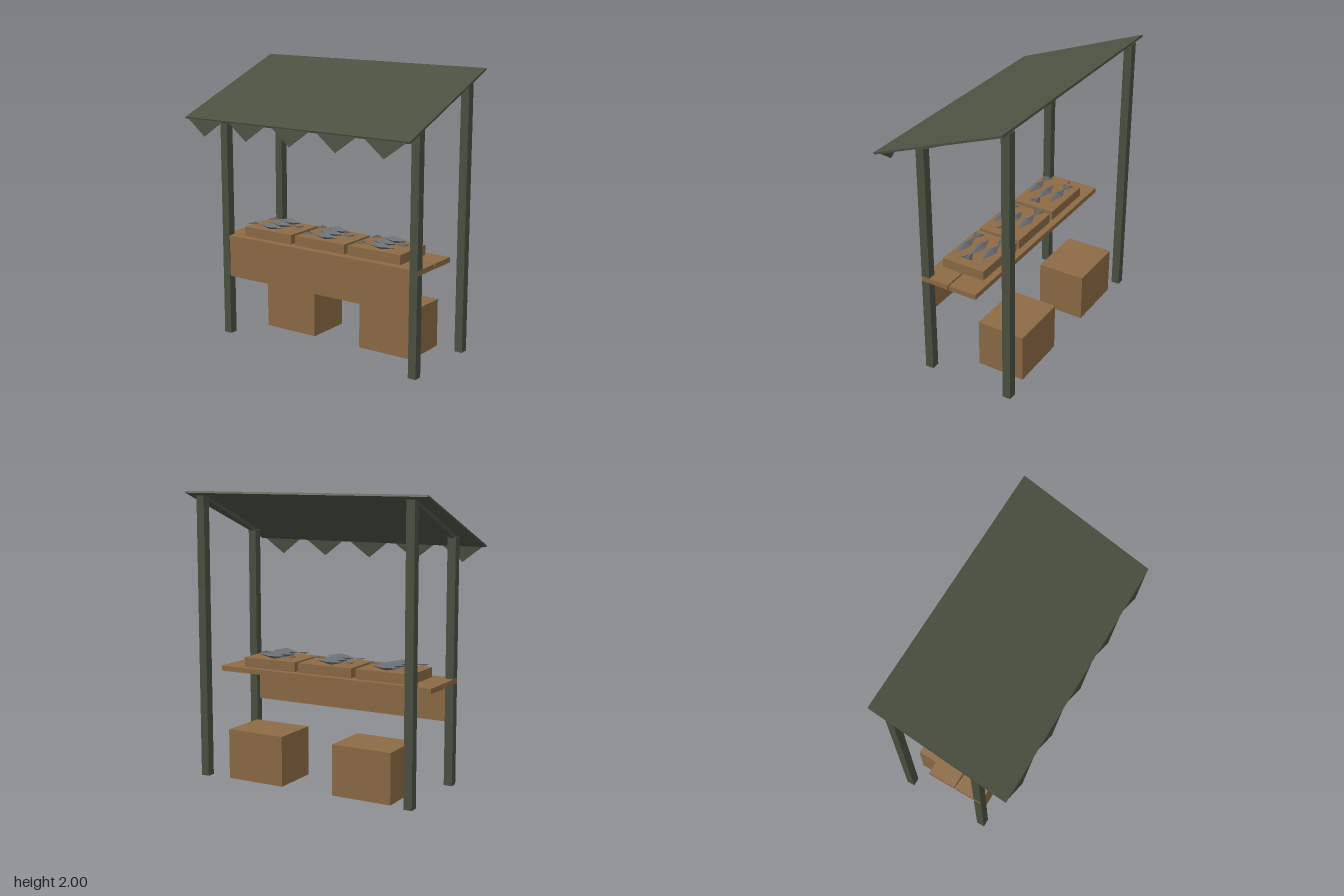
import * as THREE from 'three';

const mat = (name, color) => {
  const m = new THREE.MeshStandardMaterial({ color });
  m.name = name;
  return m;
};

export function createModel() {
  const stall = new THREE.Group();
  stall.name = 'marketStall';
  const green = mat('dark olive', 0x4b5041);
  const wood = mat('brown wood', 0x8c6a45);
  const grey = mat('fish grey', 0x666b70);

  const add = (parent, name, geometry, material, x = 0, y = 0, z = 0) => {
    const mesh = new THREE.Mesh(geometry, material);
    mesh.name = name;
    mesh.position.set(x, y, z);
    parent.add(mesh);
    return mesh;
  };
  const box = (name, material, w, h, d, x, y, z) =>
    add(stall, name, new THREE.BoxGeometry(w, h, d), material, x, y, z);

  // Posts and sloping rafters
  for (const s of [-1, 1]) {
    box('frontPost', green, 0.06, 1.705, 0.06, s * 0.797, 0.8525, 0.18);
    box('backPost', green, 0.06, 1.97, 0.06, s * 0.797, 0.985, -0.445);
    box('rafter', green, 0.03, 0.03, 0.67, s * 0.797, 1.836, -0.128).rotation.x = 0.409;
  }

  // Canopy sheet with a pointed valance along its front edge
  box('canopy', green, 1.83, 0.014, 1.022, 0, 1.81, -0.005).rotation.x = 0.3675;
  const flag = new THREE.Shape([
    new THREE.Vector2(-0.155, 0), new THREE.Vector2(0, -0.115), new THREE.Vector2(0.155, 0),
  ]);
  const flagGeometry = new THREE.ExtrudeGeometry(flag, { depth: 0.004, bevelEnabled: false });
  for (let i = -2; i <= 2; i++) {
    add(stall, 'valancePoint', flagGeometry, green, i * 0.3675, 1.625, 0.469).rotation.x = -0.1;
  }

  // Counter planks and front panel
  box('frontPlank', wood, 1.656, 0.036, 0.205, 0, 0.728, 0.105);
  box('backPlank', wood, 1.656, 0.036, 0.205, 0, 0.728, -0.111);
  box('frontPanel', wood, 1.53, 0.27, 0.02, 0, 0.575, 0.195);

  // Storage boxes on the ground
  for (const x of [-0.438, 0.392]) {
    box('storageBox', wood, 0.435, 0.35, 0.35, x, 0.175, -0.265);
  }

  // Fish: stretched octahedron body and a flat triangular tail
  const body = new THREE.OctahedronGeometry(1).scale(0.11, 0.025, 0.04);
  const tail = new THREE.ConeGeometry(0.042, 0.08, 4).scale(1, 1, 0.06)
    .rotateX(Math.PI / 2).rotateY(-Math.PI / 2).translate(0.13, 0, 0);
  const addFish = (x, z, turn) => {
    const fish = new THREE.Group();
    fish.name = 'fish';
    add(fish, 'fishBody', body, grey);
    add(fish, 'fishTail', tail, grey);
    fish.position.set(x, 0.836, z);
    fish.rotation.y = turn;
    stall.add(fish);
  };

  // Three display crates, each with three fish
  const shifts = [[-0.02, 0.01, 0.015], [0.01, 0, -0.01], [0.02, -0.01, 0.01]];
  [-0.455, 0, 0.45].forEach((x, c) => {
    box('displayCrate', wood, 0.42, 0.07, 0.32, x, 0.78, -0.007);
    shifts[c].forEach((dx, i) => {
      addFish(x + dx, 0.095 - i * 0.097, i % 2 ? 0 : Math.PI);
    });
  });

  return stall;
}
